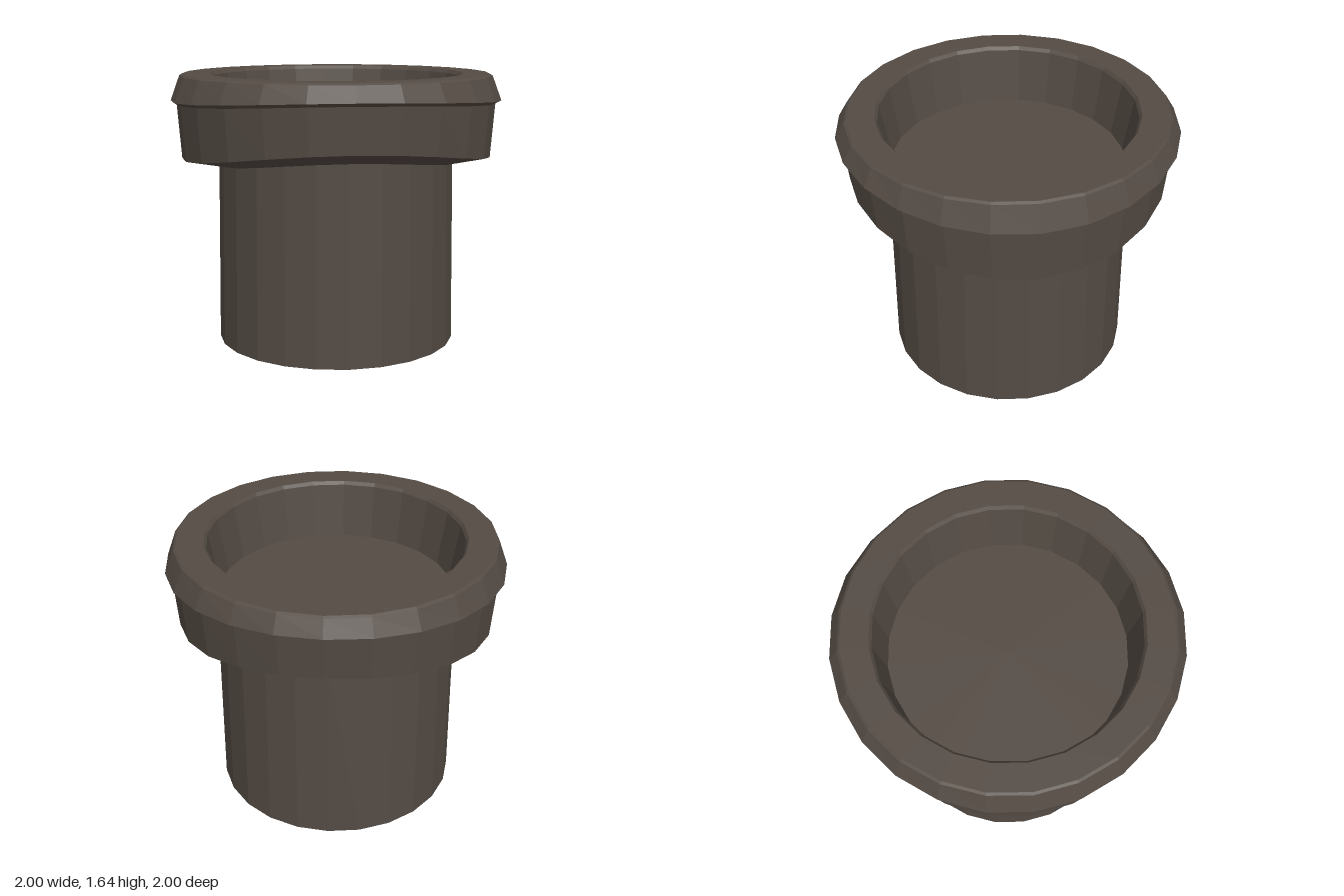
import * as THREE from 'three';

const SIDES = 24;

export function createModel() {
  const group = new THREE.Group();
  const darkBrown = new THREE.MeshStandardMaterial({ color: 0x544b44, flatShading: true, side: THREE.DoubleSide });
  darkBrown.name = 'dark brown';

  // Revolve [radius, height, wave] rings; wave raises two opposite quarters and lowers the others
  function addRing(name, rings) {
    const geometry = new THREE.LatheGeometry(rings.map(([r, y]) => new THREE.Vector2(r, y)), SIDES);
    const pos = geometry.attributes.position;
    for (let i = 0; i < pos.count; i++) {
      const angle = Math.atan2(pos.getX(i), pos.getZ(i));
      const wave = rings[i % rings.length][2] || 0;
      pos.setY(i, pos.getY(i) - wave * Math.sin(2 * angle));
    }
    geometry.computeVertexNormals();
    const mesh = new THREE.Mesh(geometry, darkBrown);
    mesh.name = name;
    group.add(mesh);
  }

  // Slightly tapered pipe, open at the bottom
  addRing('pipe', [[0.73, 0], [0.715, 1.2]]);

  // Collar with a wavy lower edge
  addRing('collar', [[0.71, 1.135, 0.045], [0.94, 1.195, 0.065], [0.965, 1.49, 0.03]]);

  // Overhanging rim with a bevelled outer face
  addRing('rim', [[0.965, 1.49, 0.03], [1, 1.51, 0.03], [0.945, 1.63], [0.93, 1.64], [0.77, 1.64]]);

  // Inner wall of the opening
  addRing('innerWall', [[0.77, 1.64], [0.755, 1.62], [0.7, 1.29]]);

  // Flat floor closing the opening
  const floor = new THREE.Mesh(new THREE.CircleGeometry(0.7, SIDES), darkBrown);
  floor.name = 'floor';
  floor.rotation.x = -Math.PI / 2;
  floor.position.y = 1.29;
  group.add(floor);

  return group;
}
